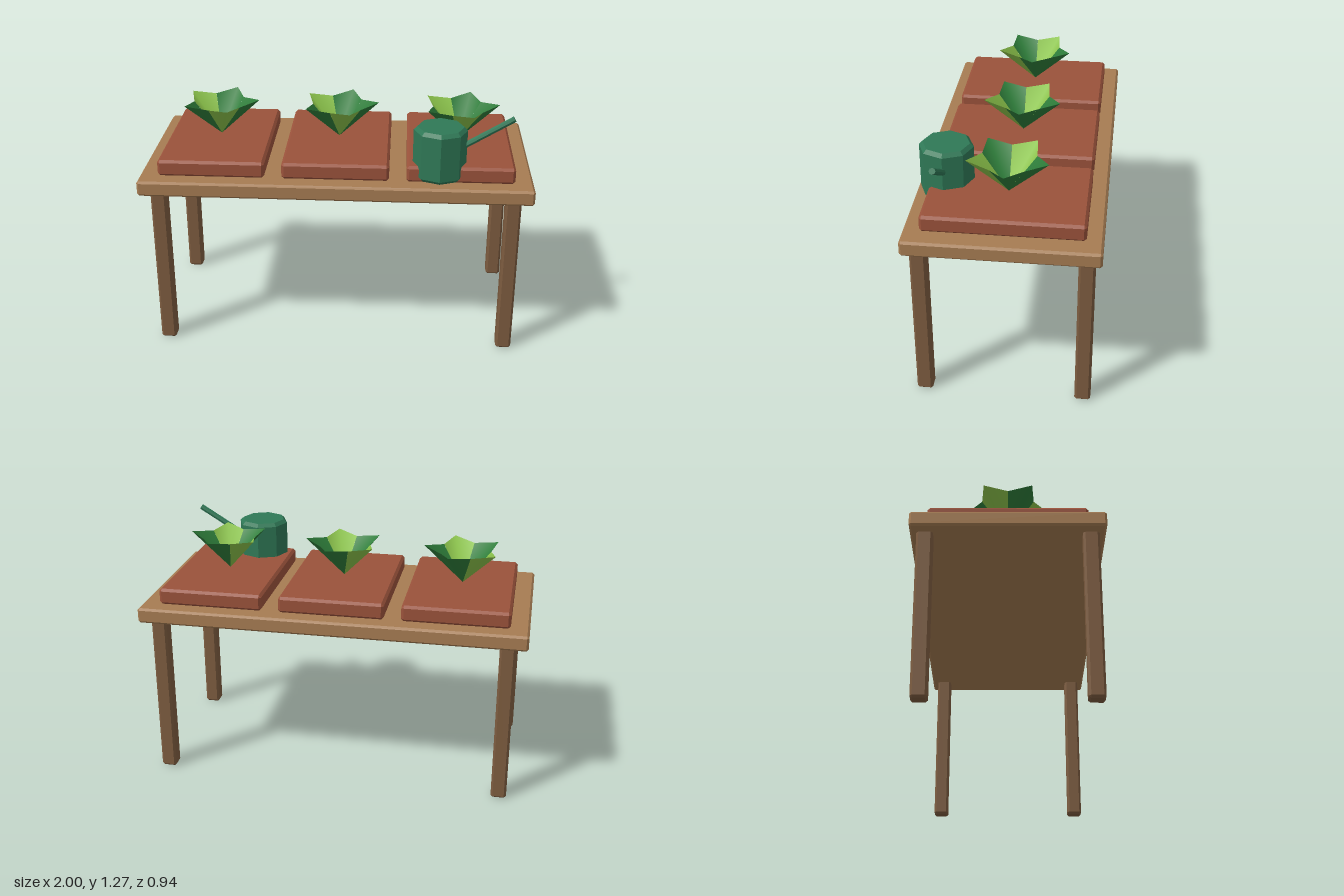
import * as THREE from 'three';
import { ConvexGeometry } from 'three/addons/geometries/ConvexGeometry.js';

function mat(name, color, options = {}) {
  const m = new THREE.MeshStandardMaterial({ color, ...options });
  m.name = name;
  return m;
}

// Box with every edge chamfered by b
function chamferBox(w, h, d, b) {
  const half = [w / 2, h / 2, d / 2];
  const points = [];
  for (const sx of [-1, 1]) for (const sy of [-1, 1]) for (const sz of [-1, 1]) {
    for (let axis = 0; axis < 3; axis++) {
      const [x, y, z] = half.map((v, i) => (i === axis ? v : v - b));
      points.push(new THREE.Vector3(sx * x, sy * y, sz * z));
    }
  }
  return new ConvexGeometry(points);
}

// Kite-shaped leaf folded along its spine, rising outward from the origin along +x
function leafGeometry() {
  const g = new THREE.BufferGeometry();
  g.setAttribute('position', new THREE.Float32BufferAttribute([
    0, 0, 0,
    0.113, 0.175, 0.082,
    0.208, 0.19, 0,
    0.113, 0.175, -0.082,
  ], 3));
  g.setIndex([0, 1, 2, 0, 2, 3]);
  g.computeVertexNormals();
  return g;
}

export function createModel() {
  const model = new THREE.Group();
  model.name = 'pottingTable';

  const topWood = mat('light wood', 0xa67c52);
  const legWood = mat('dark wood', 0x7d5c3f);
  const clay = mat('terracotta', 0x9a523b);
  const canGreen = mat('can green', 0x2f7856, { flatShading: true });
  const lightLeaf = mat('light leaf', 0x8bc34a, { side: THREE.DoubleSide });
  const darkLeaf = mat('dark leaf', 0x2e7d3a, { side: THREE.DoubleSide });

  const add = (parent, name, geometry, material, x = 0, y = 0, z = 0) => {
    const mesh = new THREE.Mesh(geometry, material);
    mesh.name = name;
    mesh.position.set(x, y, z);
    parent.add(mesh);
    return mesh;
  };

  // Table
  add(model, 'tableTop', chamferBox(2, 0.08, 0.945, 0.011), topWood, 0, 0.897, 0);
  const legGeo = chamferBox(0.08, 0.87, 0.08, 0.011);
  for (const sx of [-1, 1]) for (const sz of [-1, 1]) {
    add(model, 'leg', legGeo, legWood, sx * 0.9, 0.435, sz * 0.4);
  }

  // Trays, each with a five-leaved seedling
  const trayGeo = chamferBox(0.545, 0.085, 0.785, 0.013);
  const leafGeo = leafGeometry();
  for (const x of [-0.633, 0, 0.633]) {
    add(model, 'tray', trayGeo, clay, x, 0.979, 0);
    const plant = new THREE.Group();
    plant.name = 'seedling';
    plant.position.set(x, 1.025, 0);
    for (let i = 0; i < 5; i++) {
      const leaf = add(plant, 'leaf', leafGeo, i % 2 ? lightLeaf : darkLeaf);
      leaf.rotation.y = -i * Math.PI * 2 / 5;
    }
    model.add(plant);
  }

  // Watering can: eight-sided body with chamfered rims and a slanted spout
  const can = new THREE.Group();
  can.name = 'wateringCan';
  can.position.set(0.525, 0, 0.317);
  const profile = [[0, 0.947], [0.117, 0.947], [0.135, 0.965], [0.135, 1.195], [0.117, 1.213], [0, 1.213]];
  add(can, 'canBody', new THREE.LatheGeometry(profile.map(([r, y]) => new THREE.Vector2(r, y)), 8), canGreen);

  const from = new THREE.Vector3(0.1, 1.1, 0);
  const to = new THREE.Vector3(0.362, 1.26, 0);
  const direction = to.clone().sub(from);
  const spout = add(can, 'spout', new THREE.CylinderGeometry(0.016, 0.016, direction.length(), 8), canGreen);
  spout.position.copy(from).add(to).multiplyScalar(0.5);
  spout.quaternion.setFromUnitVectors(new THREE.Vector3(0, 1, 0), direction.normalize());
  model.add(can);

  return model;
}
